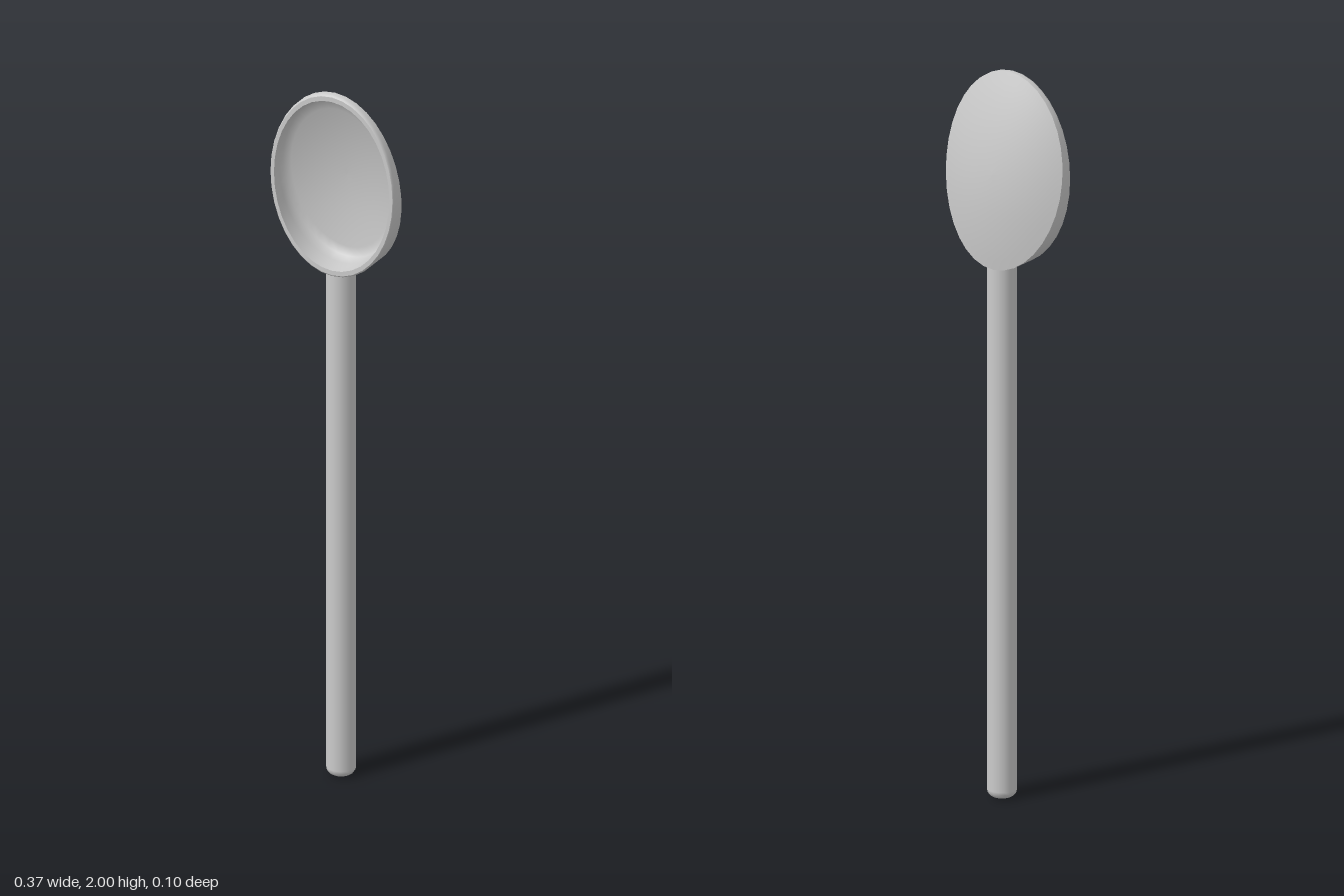
import * as THREE from 'three';

const RX = 0.187, RY = 0.265, CY = 1.735, FRONT = 0.05, SEG = 36;
const material = new THREE.MeshStandardMaterial({ color: 0xcccccc });

// Depth of the back along its spine and along its outline; t runs -1 (neck) to 1 (tip)
const spineZ = t => -0.05 + (t > -0.4 ? 0.08 : 0.054) * ((t + 0.4) / 1.4) ** 2;
const edgeZ = t => 0.01 + 0.035 * t - 0.015 * t * t;

// Depth of the back at a point of the unit disc
function backZ(x, t) {
  const w2 = 1 - t * t;
  const f = w2 < 1e-6 ? 1 : Math.min(1, (x * x) / w2);
  return THREE.MathUtils.lerp(spineZ(t), edgeZ(t), f);
}

// Skins a list of elliptical rings { r, z(x, t) }, with r relative to the outline
function ringSurface(name, rings) {
  const pos = [], index = [];
  rings.forEach(({ r, z }, i) => {
    for (let j = 0; j < SEG; j++) {
      const a = (j / SEG) * Math.PI * 2;
      const x = r * Math.cos(a), t = r * Math.sin(a);
      pos.push(x * RX, CY + t * RY, z(x, t));
      if (i === rings.length - 1) continue;
      const k = (j + 1) % SEG;
      const p = i * SEG + j, q = i * SEG + k;
      index.push(p, q, p + SEG, q, q + SEG, p + SEG);
    }
  });
  const geo = new THREE.BufferGeometry();
  geo.setAttribute('position', new THREE.Float32BufferAttribute(pos, 3));
  geo.setIndex(index);
  geo.computeVertexNormals();
  const mesh = new THREE.Mesh(geo, material);
  mesh.name = name;
  return mesh;
}

export function createModel() {
  const spoon = new THREE.Group();
  spoon.name = 'spoon';

  // Round handle with a softened bottom end
  const R = 0.04, B = 0.022;
  const profile = [new THREE.Vector2(0, 0)];
  for (let i = 0; i <= 4; i++) {
    const a = (i / 4) * Math.PI / 2;
    profile.push(new THREE.Vector2(R - B + B * Math.sin(a), B - B * Math.cos(a)));
  }
  profile.push(new THREE.Vector2(R, 1.478));
  const handle = new THREE.Mesh(new THREE.LatheGeometry(profile, 16), material);
  handle.name = 'handle';
  spoon.add(handle);

  const head = new THREE.Group();
  head.name = 'head';
  spoon.add(head);

  // Curved back of the head
  const back = [];
  for (let i = 0; i <= 10; i++) back.push({ r: i / 10, z: backZ });
  head.add(ringSurface('headBack', back));

  // Upright side wall, cut by the back
  head.add(ringSurface('headSide', [
    { r: 1, z: backZ },
    { r: 1, z: () => FRONT - 0.008 },
    { r: 0.992, z: () => FRONT - 0.002 },
    { r: 0.98, z: () => FRONT },
  ]));

  // Flat rim around the bowl
  head.add(ringSurface('rim', [
    { r: 0.98, z: () => FRONT },
    { r: 0.93, z: () => FRONT },
  ]));

  // Hollow bowl, a thin shell's thickness in front of the back
  const floor = (x, t) => backZ(x, t) + 0.01;
  const bowl = [
    { r: 0.93, z: () => FRONT },
    { r: 0.92, z: (x, t) => THREE.MathUtils.lerp(floor(x, t), FRONT, 0.4) },
  ];
  for (let i = 9; i >= 0; i--) bowl.push({ r: 0.9 * i / 9, z: floor });
  head.add(ringSurface('bowl', bowl));

  return spoon;
}
